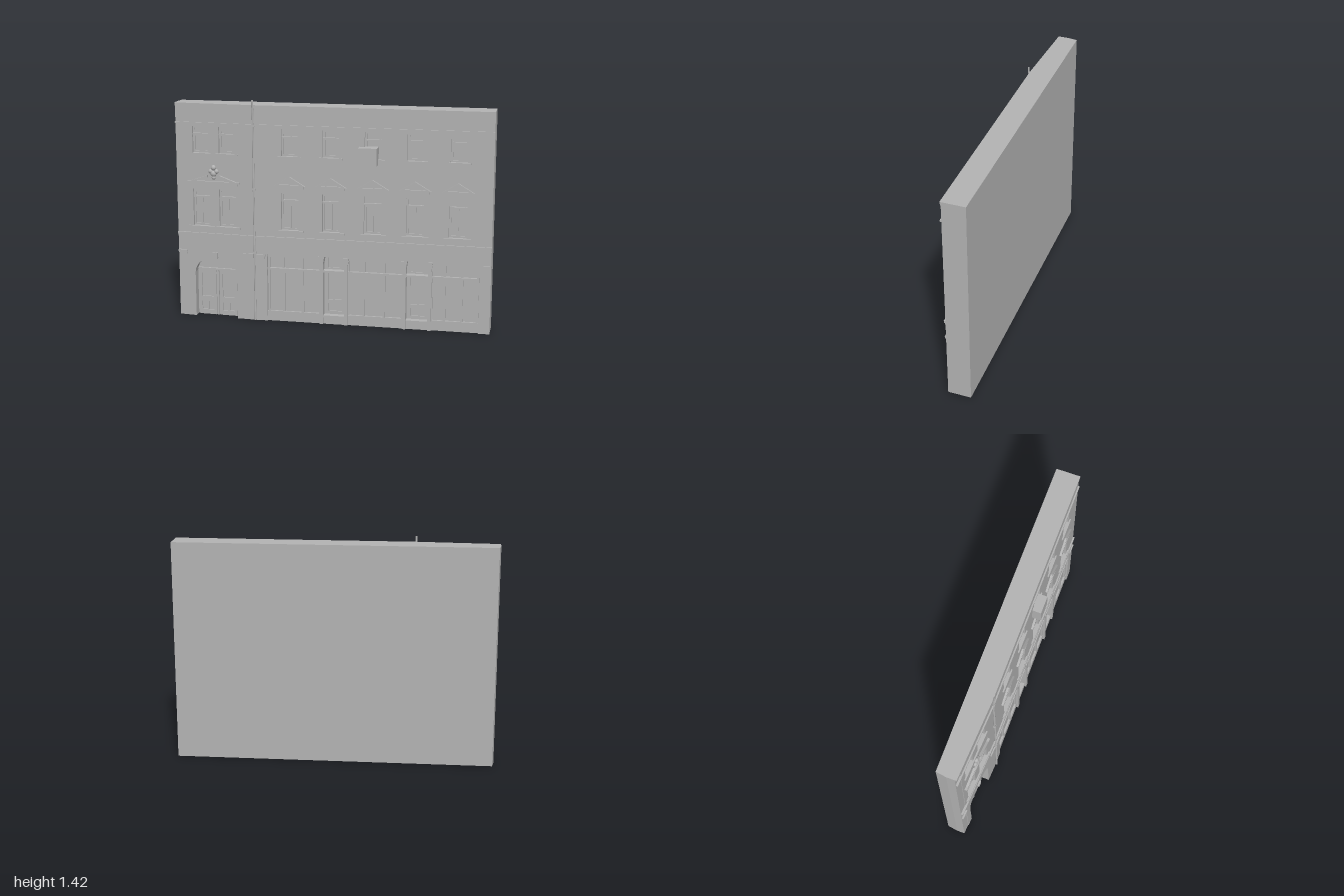
import * as THREE from 'three';

const FRONT = 0.045, INNER = -0.01, BEND = -0.49;

export function createModel() {
  const model = new THREE.Group();
  model.name = 'facade';
  const stone = new THREE.MeshStandardMaterial({ color: 0xb3b3b3 });
  stone.name = 'grey stone';

  // The bay left of the bend angles gently backwards
  function add(name, geo) {
    const p = geo.attributes.position;
    for (let i = 0; i < p.count; i++) {
      if (p.getZ(i) > -0.05) p.setZ(i, p.getZ(i) + 0.05 * Math.min(0, p.getX(i) - BEND));
    }
    geo.computeVertexNormals();
    const mesh = new THREE.Mesh(geo, stone);
    mesh.name = name;
    model.add(mesh);
  }
  function box(name, x0, x1, y0, y1, z0, z1) {
    const g = new THREE.BoxGeometry(x1 - x0, y1 - y0, z1 - z0);
    add(name, g.translate((x0 + x1) / 2, (y0 + y1) / 2, (z0 + z1) / 2));
  }
  // Horizontal moulding across both bays
  function band(name, y0, y1, out) {
    box(name, -1, BEND, y0, y1, FRONT - 0.01, FRONT + out);
    box(name, BEND, 1, y0, y1, FRONT - 0.01, FRONT + out);
  }
  const path = (pts) => new THREE.Shape(pts.map(([x, y]) => new THREE.Vector2(x, y)));
  const rect = (x0, x1, y0, y1) => path([[x0, y0], [x1, y0], [x1, y1], [x0, y1]]);
  function plate(name, shape, z0, z1) {
    const g = new THREE.ExtrudeGeometry(shape, { depth: z1 - z0, bevelEnabled: false, curveSegments: 16 });
    add(name, g.translate(0, 0, z0));
  }

  // Solid block behind the front
  const plan = path([[-0.99, 0.1], [-1, -INNER], [BEND, -INNER], [1, -INNER], [1, 0.1]]);
  const core = new THREE.ExtrudeGeometry(plan, { depth: 1.385, bevelEnabled: false });
  add('backWall', core.rotateX(-Math.PI / 2));

  // Window openings: [centre, half width, bottom, top, rail height]
  const mainCentres = [-0.26, 0.002, 0.264, 0.527, 0.79];
  const sideCentres = [-0.837, -0.664];
  const windowsAt = (centres) => centres.flatMap((c) => [
    [c, 0.052, 1.07, 1.24, 1.188],
    [c, 0.055, 0.6, 0.84, 0.788],
  ]);
  const mainWindows = windowsAt(mainCentres), sideWindows = windowsAt(sideCentres);

  // Right wall with the shop opening
  const mainWall = path([[BEND, 0], [-0.41, 0], [-0.41, 0.44], [0.93, 0.44], [0.93, 0],
    [1, 0], [1, 1.385], [BEND, 1.385]]);
  // Left wall with the carriage arch
  const sideWall = new THREE.Shape();
  sideWall.moveTo(-0.94, 0).lineTo(-0.89, 0).lineTo(-0.89, 0.29);
  sideWall.bezierCurveTo(-0.88, 0.435, -0.62, 0.435, -0.61, 0.29);
  sideWall.lineTo(-0.61, 0).lineTo(BEND, 0).lineTo(BEND, 1.385).lineTo(-0.94, 1.385);
  for (const [wall, list] of [[mainWall, mainWindows], [sideWall, sideWindows]]) {
    for (const [c, w, y0, y1] of list) wall.holes.push(rect(c - w, c + w, y0, y1));
  }
  plate('mainWall', mainWall, INNER, FRONT);
  plate('sideWall', sideWall, INNER, FRONT);
  box('endStrip', -1, -0.94, 0, 1.385, INNER, FRONT - 0.004);

  // Sash windows
  for (const [c, w, y0, y1, rail] of [...mainWindows, ...sideWindows]) {
    box('windowPane', c - w, c + w, y0, y1, INNER, 0.02);
    const frame = rect(c - w, c + w, y0, y1);
    frame.holes.push(rect(c - w + 0.012, c + w - 0.012, y0 + 0.012, rail - 0.006));
    frame.holes.push(rect(c - w + 0.012, c + w - 0.012, rail + 0.006, y1 - 0.012));
    plate('windowFrame', frame, 0.015, 0.027);
    box('windowRail', c - w, c + w, rail - 0.006, rail + 0.006, 0.015, 0.036);
    if (y0 < 1) box('windowMullion', c - 0.004, c + 0.004, y0, rail, 0.015, 0.025);
  }

  // Sills
  for (const c of mainCentres) {
    box('upperSill', c - 0.075, c + 0.075, 1.06, 1.071, 0.03, 0.054);
    box('lowerSill', c - 0.086, c + 0.086, 0.588, 0.601, 0.03, 0.055);
  }
  box('upperSill', -0.91, -0.592, 1.06, 1.071, 0.03, 0.054);
  box('lowerSill', -0.922, -0.582, 0.588, 0.601, 0.03, 0.055);

  // Pediments over the main windows
  for (const c of mainCentres) {
    const gable = path([[c - 0.1, 0.885], [c + 0.1, 0.885], [c, 0.945]]);
    gable.holes.push(path([[c - 0.064, 0.893], [c + 0.064, 0.893], [c, 0.931]]));
    plate('pediment', gable, 0.04, 0.058);
    box('pedimentShelf', c - 0.088, c + 0.088, 0.869, 0.885, 0.04, 0.053);
  }

  // Broken pediment and carved ornament
  const mid = -0.752;
  for (const s of [-1, 1]) {
    const rake = [[0.172, 0.885], [0.04, 0.932], [0.04, 0.918], [0.12, 0.889]].map(([x, y]) => [mid + s * x, y]);
    plate('brokenPediment', path(rake), 0.04, 0.06);
  }
  box('brokenPedimentBase', mid - 0.172, mid + 0.172, 0.882, 0.893, 0.04, 0.06);
  box('brokenPedimentShelf', mid - 0.155, mid + 0.155, 0.869, 0.882, 0.04, 0.054);
  for (const [x, y, r] of [[0, 0.98, 0.017], [-0.019, 0.957, 0.015], [0.019, 0.957, 0.015], [0, 0.942, 0.02], [0, 0.917, 0.013]]) {
    const g = new THREE.SphereGeometry(r, 14, 10).scale(1, 1, 0.9);
    add('carvedOrnament', g.translate(mid + x, y, 0.049));
  }

  // Cornice and string courses
  band('cornice', 1.372, 1.385, 0.007);
  band('corniceLip', 1.364, 1.372, 0.003);
  band('frieze', 1.254, 1.265, 0.009);
  band('stringCourse', 0.54, 0.555, 0.01);
  band('stringCourseLip', 0.527, 0.54, 0.004);

  // Carriage door in the arch
  for (const s of [-1, 1]) {
    const a = mid + s * 0.012, b = mid + s * 0.128, l = Math.min(a, b), r = Math.max(a, b);
    const leaf = rect(l, r, 0, 0.3);
    leaf.holes.push(rect(l + 0.018, r - 0.018, 0.12, 0.275));
    leaf.holes.push(rect(l + 0.018, l + 0.052, 0.03, 0.085), rect(r - 0.052, r - 0.018, 0.03, 0.085));
    plate('gateLeaf', leaf, INNER, 0.0);
  }
  box('gateTransom', -0.885, -0.615, 0.3, 0.312, INNER, 0.004);
  box('gateMeetingRail', mid - 0.006, mid + 0.006, 0, 0.3, INNER, 0.003);
  plate('keystone', path([[mid - 0.013, 0.39], [mid + 0.013, 0.39], [mid + 0.018, 0.43], [mid - 0.018, 0.43]]), 0.03, 0.056);
  // Capitals beside the arch and the shop
  for (const [x0, x1] of [[-1, -0.94], [-0.565, -0.5], [-0.48, -0.42], [0.935, 1]]) {
    box('capital', x0, x1, 0.425, 0.437, 0.03, 0.053);
    box('capitalNeck', x0 + 0.006, x1 - 0.004, 0.408, 0.425, 0.03, 0.049);
  }

  // Shop windows
  for (const [x0, x1] of [[-0.41, -0.06], [0.1, 0.465], [0.625, 0.93]]) {
    box('shopGlass', x0, x1, 0, 0.44, INNER, 0.022);
    box('stallRiser', x0, x1, 0, 0.065, INNER, 0.036);
    box('shopHead', x0, x1, 0.42, 0.44, INNER, 0.036);
    const w = x1 - x0;
    for (const t of [0.03, 0.3, 0.65, 0.97]) {
      const x = x0 + w * t;
      box('shopMullion', x - 0.007, x + 0.007, 0.065, 0.42, INNER, 0.034);
    }
  }
  box('shopTransom', -0.41, 0.925, 0.337, 0.35, INNER, 0.041);

  // Shop doors set back on steps
  for (const [x0, x1] of [[-0.05, 0.09], [0.475, 0.615]]) {
    box('doorStep', x0, x1, 0, 0.055, INNER, 0.038);
    const door = rect(x0, x1, 0.055, 0.44);
    door.holes.push(rect(x0 + 0.025, x1 - 0.025, 0.15, 0.325), rect(x0 + 0.025, x1 - 0.025, 0.36, 0.425));
    door.holes.push(rect(x0 + 0.025, x1 - 0.025, 0.075, 0.125));
    plate('shopDoor', door, INNER, -0.002);
  }
  // Shop columns with flared capitals
  for (const x of [-0.06, 0.098, 0.465, 0.624]) {
    const column = path([[x - 0.011, 0], [x + 0.011, 0], [x + 0.011, 0.39], [x + 0.019, 0.44],
      [x - 0.019, 0.44], [x - 0.011, 0.39]]);
    plate('shopColumn', column, INNER, 0.05);
  }

  // Drainpipe with brackets
  const pipe = new THREE.CatmullRomCurve3([[0, 0.051], [0.5, 0.051], [1.0, 0.051], [1.34, 0.051], [1.385, 0.059], [1.42, 0.06]]
    .map(([y, z]) => new THREE.Vector3(-0.489, y, z)));
  add('drainpipe', new THREE.TubeGeometry(pipe, 40, 0.006, 10));
  for (const y of [0.44, 0.85, 1.25]) box('pipeBracket', -0.499, -0.479, y, y + 0.012, 0.04, 0.058);

  // Box unit on the wall
  box('wallBox', 0.18, 0.295, 1.038, 1.148, 0.02, 0.1);
  return model;
}
